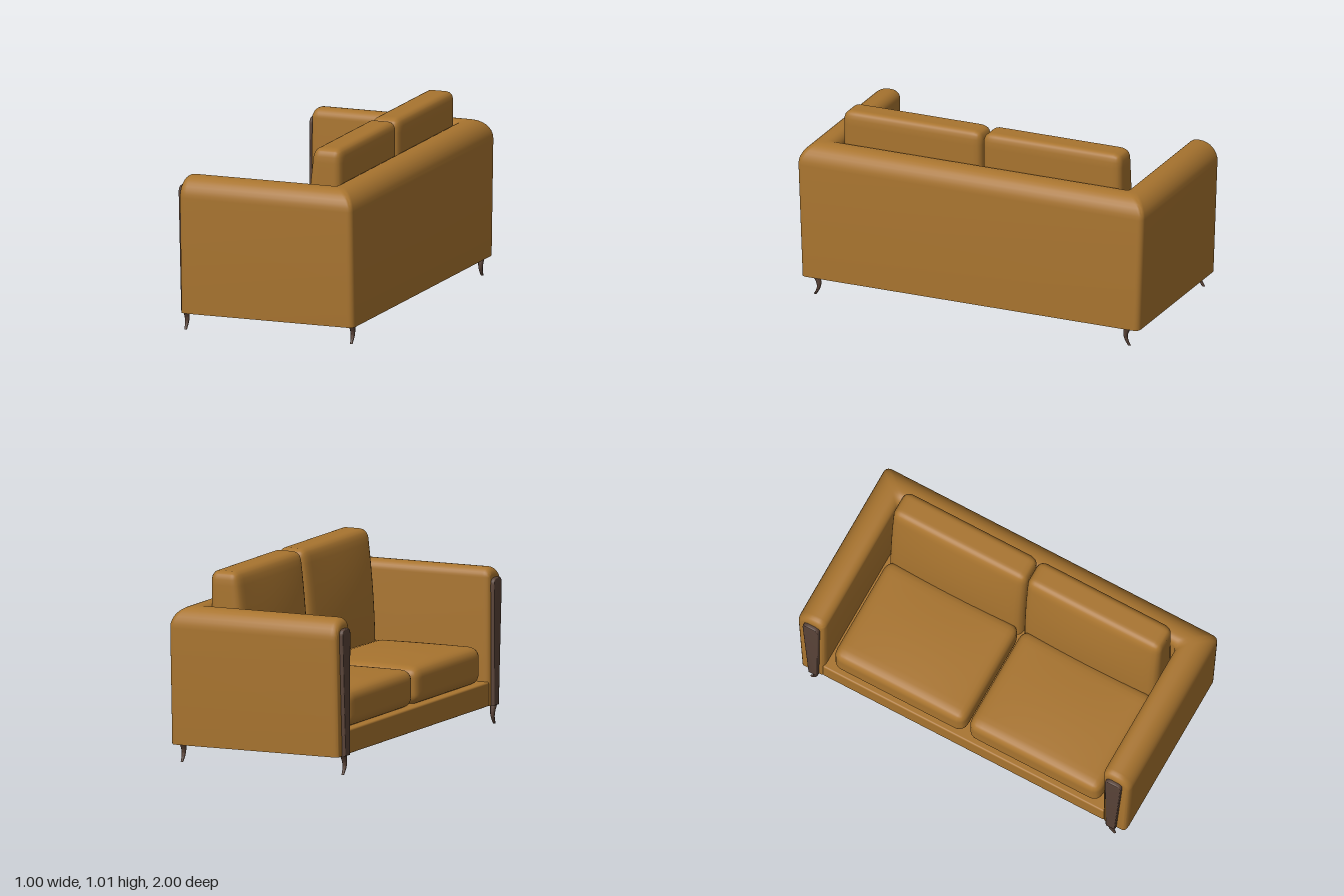
import * as THREE from 'three';
import { mergeVertices, toCreasedNormals } from 'three/addons/utils/BufferGeometryUtils.js';
import { RoundedBoxGeometry } from 'three/addons/geometries/RoundedBoxGeometry.js';

const fabric = new THREE.MeshStandardMaterial({ color: 0xa8742f });
fabric.name = 'ochre fabric';
const wood = new THREE.MeshStandardMaterial({ color: 0x594338 });
wood.name = 'dark wood';

function add(group, name, geometry, material) {
  const mesh = new THREE.Mesh(geometry, material);
  mesh.name = name;
  group.add(mesh);
  return mesh;
}

// Arm and back cross-section as [distance inward, height]; e insets it for the rounded arm fronts
function profile(e) {
  const side = 0.02 * e, top = 0.04 * e, n = 8;
  const pts = [[side, 0.1]];
  for (let i = 0; i <= n; i++) {
    const a = (i / n) * Math.PI / 2;
    pts.push([0.1 - (0.1 - side) * Math.cos(a), 0.725 + (0.11 - top) * Math.sin(a)]);
  }
  for (let i = n; i >= 0; i--) {
    const a = (i / n) * Math.PI / 2;
    pts.push([0.115 + (0.05 - side) * Math.cos(a), 0.785 + (0.05 - top) * Math.sin(a)]);
  }
  pts.push([0.165 - side, 0.1]);
  return pts;
}

// U-shaped shell: both arms and the back in one sweep
function shellGeometry() {
  const lean = (d, y) => 0.025 * Math.max(0, 1 - (y - 0.1) / 0.65) * (1 - d / 0.165);
  const half = [];
  for (let k = 0; k <= 5; k++) {
    const a = (k / 5) * Math.PI / 2;
    const x = -0.48 + 0.04 * (1 - Math.cos(a));
    half.push(profile(1 - Math.sin(a)).map(([d, y]) => [x, y, 1 - d - lean(d, y)]));
  }
  const R = 0.03;
  for (let k = 0; k <= 5; k++) {
    const a = (k / 5) * Math.PI / 2;
    half.push(profile(0).map(([d, y]) => [
      0.5 - d - R + R * Math.sin(a), y, 1 - d - R + R * Math.cos(a) - lean(d, y)]));
  }
  const mirrored = half.map(ring => ring.map(([x, y, z]) => [x, y, -z])).reverse();
  const rings = [...half, ...mirrored];
  const n = rings[0].length, last = (rings.length - 1) * n, index = [];
  for (let i = 0; i < rings.length - 1; i++) {
    for (let j = 0; j < n; j++) {
      const k = (j + 1) % n, a = i * n, b = a + n;
      index.push(a + j, b + j, a + k, b + j, b + k, a + k);
    }
  }
  for (let j = 1; j < n - 1; j++) {
    index.push(0, j, j + 1, last, last + j + 1, last + j);
  }
  const g = new THREE.BufferGeometry();
  g.setAttribute('position', new THREE.Float32BufferAttribute(rings.flat(2), 3));
  g.setIndex(index);
  return toCreasedNormals(g, 0.6);
}

// Padded box with round edges; shape(p, u) moves each point, u being its -1..1 place in the box
function cushionGeometry(w, h, d, r, shape) {
  let g = new THREE.BoxGeometry(2, 2, 2, 20, 20, 20);
  g.deleteAttribute('uv');
  g.deleteAttribute('normal');
  g = mergeVertices(g);
  const pos = g.attributes.position;
  const size = new THREE.Vector3(w / 2, h / 2, d / 2);
  const inner = size.clone().subScalar(r);
  const p = new THREE.Vector3(), core = new THREE.Vector3(), u = new THREE.Vector3();
  for (let i = 0; i < pos.count; i++) {
    p.fromBufferAttribute(pos, i);
    p.set(...p.toArray().map(t => Math.sin(t * Math.PI / 2))).multiply(size);
    core.copy(p).clamp(inner.clone().negate(), inner);
    p.sub(core).setLength(r).add(core);
    u.copy(p).divide(size);
    shape(p, u);
    pos.setXYZ(i, p.x, p.y, p.z);
  }
  g.computeVertexNormals();
  return g;
}

// Tapered leg with an S bend, s being the side
function legGeometry(s) {
  const g = new THREE.CylinderGeometry(1, 1, 0.1, 12, 10);
  const pos = g.attributes.position;
  for (let i = 0; i < pos.count; i++) {
    const t = pos.getY(i) / 0.1 + 0.5;
    const bend = 0.9 - 0.015 * Math.sin(Math.PI * t) + 0.008 * Math.pow(1 - t, 3);
    pos.setXYZ(i,
      pos.getX(i) * (0.007 + 0.01 * t),
      t * 0.1,
      s * bend + pos.getZ(i) * (0.008 + 0.013 * t * t));
  }
  return toCreasedNormals(g, 0.8);
}

// Slim wooden facing on the arm front, wider and rounded at the top
function facingGeometry(s) {
  const b = 0.005;
  const shape = new THREE.Shape();
  shape.moveTo(s * (0.865 + b), 0.1 + b);
  shape.lineTo(s * (0.92 - b), 0.1 + b);
  shape.lineTo(s * (0.955 - b), 0.745);
  shape.quadraticCurveTo(s * (0.955 - b), 0.78 - b, s * 0.92, 0.78 - b);
  shape.lineTo(s * 0.895, 0.78 - b);
  shape.quadraticCurveTo(s * (0.86 + b), 0.78 - b, s * (0.86 + b), 0.745);
  shape.closePath();
  const g = new THREE.ExtrudeGeometry(shape, {
    depth: 0.02, bevelThickness: b, bevelSize: b, bevelSegments: 3, curveSegments: 6 });
  g.rotateY(-Math.PI / 2);
  g.translate(-0.475, 0, 0);
  return toCreasedNormals(g, 0.7);
}

export function createModel() {
  const sofa = new THREE.Group();
  sofa.name = 'sofa';

  add(sofa, 'armsAndBack', shellGeometry(), fabric);

  // Seat base with its front rail
  add(sofa, 'seatBase', new RoundedBoxGeometry(0.83, 0.13, 1.69, 3, 0.01), fabric)
    .position.set(-0.065, 0.165, 0);

  for (const s of [1, -1]) {
    const side = s > 0 ? 'Left' : 'Right';

    // Seat cushion with a soft crown
    const seat = cushionGeometry(0.625, 0.2, 0.79, 0.055, (p, u) => {
      if (u.y > 0) p.y += 0.015 * u.y * (1 - u.x * u.x) * (1 - u.z * u.z);
    });
    add(sofa, 'seatCushion' + side, seat, fabric).position.set(-0.147, 0.325, s * 0.405);

    // Back cushion, its front leaning back and slightly bulged
    const back = cushionGeometry(0.21, 0.78, 0.8, 0.05, (p, u) => {
      const front = (1 - u.x) / 2, up = (u.y + 1) / 2;
      p.x += front * (0.05 * up * up - 0.02 * (1 - u.y * u.y) * (1 - u.z * u.z));
    });
    add(sofa, 'backCushion' + side, back, fabric).position.set(0.253, 0.62, s * 0.403);

    add(sofa, 'armFacing' + side, facingGeometry(s), wood);

    for (const [name, x] of [['frontLeg', -0.478], ['backLeg', 0.464]]) {
      add(sofa, name + side, legGeometry(s), wood).position.x = x;
    }
  }
  return sofa;
}
